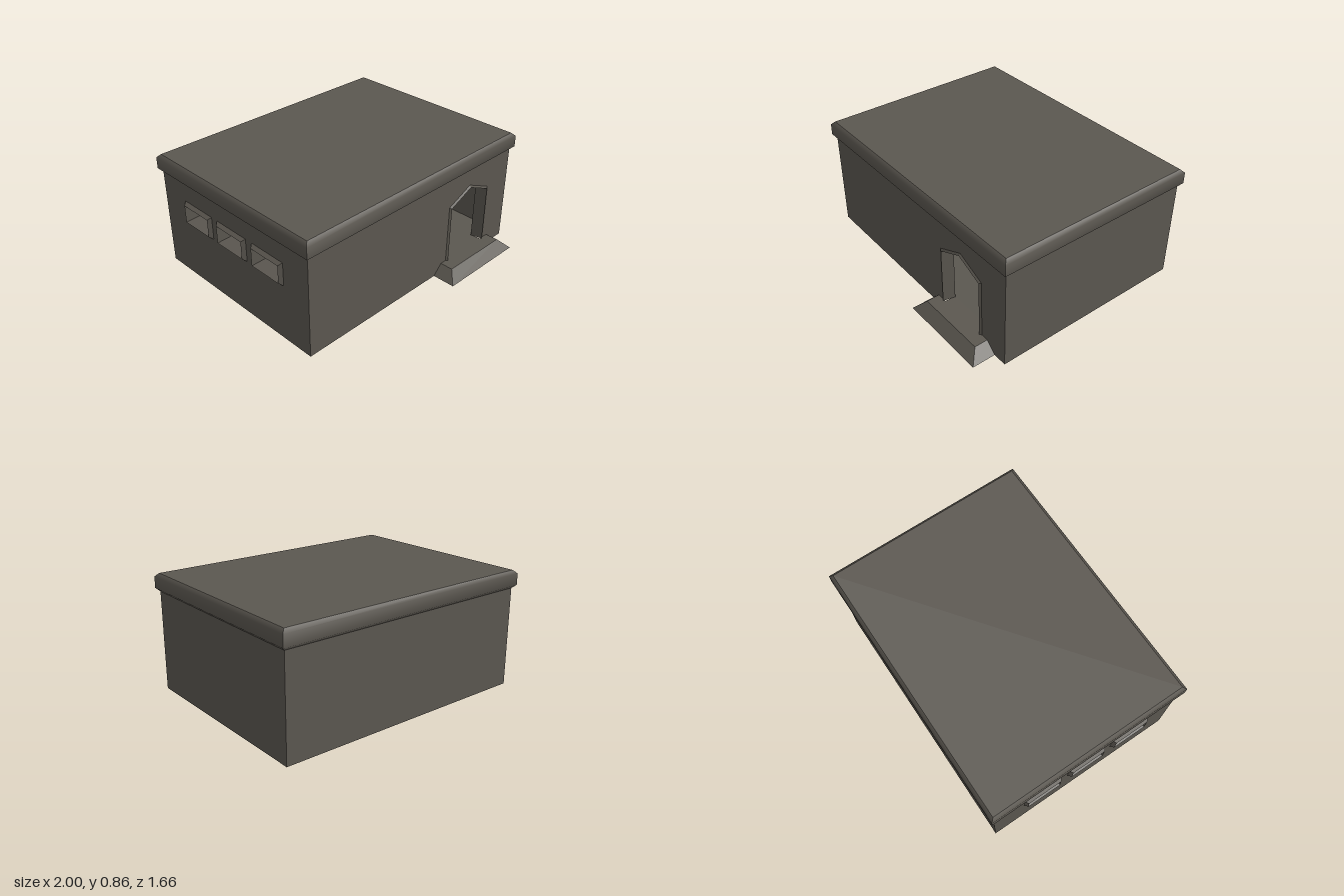
import * as THREE from 'three';
import { mergeGeometries } from 'three/addons/utils/BufferGeometryUtils.js';

// Outer extents of the body, wall thickness and floor height
const X = 0.975, FRONT = 0.66, BACK = -0.805, WALL_TOP = 0.725, T = 0.075, FLOOR = 0.073;
const MID_Z = (FRONT + BACK) / 2;

// Skins matching rings of [x, y, z] points; every segment along a ring is a separate strip
function loft(rings, smooth = false) {
  const strips = [];
  for (let s = 0; s < rings[0].length - 1; s++) {
    const index = [];
    for (let i = 0; i < rings.length - 1; i++) {
      const a = 2 * i;
      index.push(a, a + 1, a + 3, a, a + 3, a + 2);
    }
    let g = new THREE.BufferGeometry();
    g.setAttribute('position', new THREE.Float32BufferAttribute(rings.flatMap(r => [...r[s], ...r[s + 1]]), 3));
    g.setIndex(index);
    if (!smooth) g = g.toNonIndexed();
    g.computeVertexNormals();
    strips.push(g);
  }
  return mergeGeometries(strips);
}

const polygon = pts => new THREE.Shape(pts.map(p => new THREE.Vector2(...p)));

// Pointed doorway outline, open at the bottom, grown by d
const arch = d => [
  [0.71 + d, FLOOR], [0.71 + d, 0.488 + d * 0.65], [0.5325, 0.57 + d],
  [0.355 - d, 0.488 + d * 0.65], [0.355 - d, FLOOR],
];

// Window outline in (z, y), shrunk by d
const opening = (z, d) => [
  [z - 0.147 + d, 0.42 + d], [z + 0.147 - d, 0.42 + d],
  [z + 0.147 - d, 0.59 - d], [z - 0.147 + d, 0.59 - d], [z - 0.147 + d, 0.42 + d],
];
const WINDOWS = [-0.42, -0.067, 0.287];

// Side wall from z0 to z1 and y0 to WALL_TOP, with window holes shrunk by d
function windowWall(z0, z1, y0, d) {
  const wall = polygon([[z0, y0], [z1, y0], [z1, WALL_TOP], [z0, WALL_TOP]]);
  for (const z of WINDOWS) wall.holes.push(polygon(opening(z, d).slice(0, 4)));
  return new THREE.ShapeGeometry(wall).rotateY(-Math.PI / 2);
}

// Rectangle around the body, grown by d, at height y
const perimeter = (d, y) => [
  [-X - d, y, FRONT + d], [X + d, y, FRONT + d],
  [X + d, y, BACK - d], [-X - d, y, BACK - d], [-X - d, y, FRONT + d],
];

// Horizontal plate facing up
const plate = (w, d) => new THREE.PlaneGeometry(w, d).rotateX(-Math.PI / 2);

export function createModel() {
  const model = new THREE.Group();
  const stone = new THREE.MeshStandardMaterial({ color: 0x5b5750, side: THREE.DoubleSide });
  stone.name = 'grey brown stone';

  const add = (name, geometry, x = 0, y = 0, z = 0) => {
    const mesh = new THREE.Mesh(geometry, stone);
    mesh.name = name;
    mesh.position.set(x, y, z);
    model.add(mesh);
  };

  // Front wall, cut out around the step and the doorway
  add('frontWall', new THREE.ShapeGeometry(polygon([
    [-X, 0], [0.2, 0], [0.27, FLOOR], ...arch(0.02).reverse(), [0.8, FLOOR], [0.875, 0],
    [X, 0], [X, WALL_TOP], [-X, WALL_TOP],
  ])), 0, 0, FRONT);

  // Right wall with windows, plain back and left walls
  add('rightWall', windowWall(BACK, FRONT, 0, 0.025), -X);
  add('backAndLeftWalls', loft([perimeter(0, 0).slice(1, 4), perimeter(0, WALL_TOP).slice(1, 4)]));

  // Hollow room inside the walls
  const roomX = X - T, roomDepth = FRONT - BACK - 2 * T;
  add('roomFrontWall', new THREE.ShapeGeometry(polygon([
    [-roomX, FLOOR], ...arch(0).reverse(), [roomX, FLOOR], [roomX, WALL_TOP], [-roomX, WALL_TOP],
  ])), 0, 0, FRONT - T);
  add('roomRightWall', windowWall(BACK + T, FRONT - T, FLOOR, 0.04), -roomX);
  add('roomBackAndLeftWalls', loft([perimeter(-T, FLOOR).slice(1, 4), perimeter(-T, WALL_TOP).slice(1, 4)]));
  add('roomFloor', plate(2 * roomX, roomDepth), 0, FLOOR, MID_Z);
  add('roomCeiling', plate(2 * roomX, roomDepth), 0, WALL_TOP, MID_Z);

  // Window frames: outer bevel, then a reveal tapering through the wall
  for (const z of WINDOWS) {
    const ring = (d, x) => opening(z, d).map(([pz, py]) => [x, py, pz]);
    add('windowFrame', loft([ring(0, -X), ring(0.02, -1), ring(0.04, -roomX)]));
  }

  // Door frame, built the same way
  const doorRing = (d, z) => arch(d).map(([x, y]) => [x, y, z]);
  add('doorFrame', loft([doorRing(0.035, FRONT), doorRing(0.02, FRONT + 0.011), doorRing(0, FRONT - T)]));
  add('doorSill', plate(0.37, T), 0.5325, FLOOR, FRONT - T / 2);

  // Sloped step, hollow underneath
  add('stepSlopes', loft([
    [[0.2, 0, FRONT], [0.2, 0, 0.83], [0.875, 0, 0.83], [0.875, 0, FRONT]],
    [[0.27, FLOOR, FRONT], [0.27, FLOOR, 0.757], [0.8, FLOOR, 0.757], [0.8, FLOOR, FRONT]],
  ]));
  add('stepTop', plate(0.53, 0.757 - FRONT), 0.535, FLOOR, (0.757 + FRONT) / 2);

  // Roof slab with a softly shaded, chamfered edge
  add('roofEdge', loft([
    perimeter(0, WALL_TOP), perimeter(0.025, 0.748), perimeter(0.025, 0.83), perimeter(0, 0.855),
  ], true));
  add('roofTop', plate(2 * X, FRONT - BACK), 0, 0.855, MID_Z);

  return model;
}
